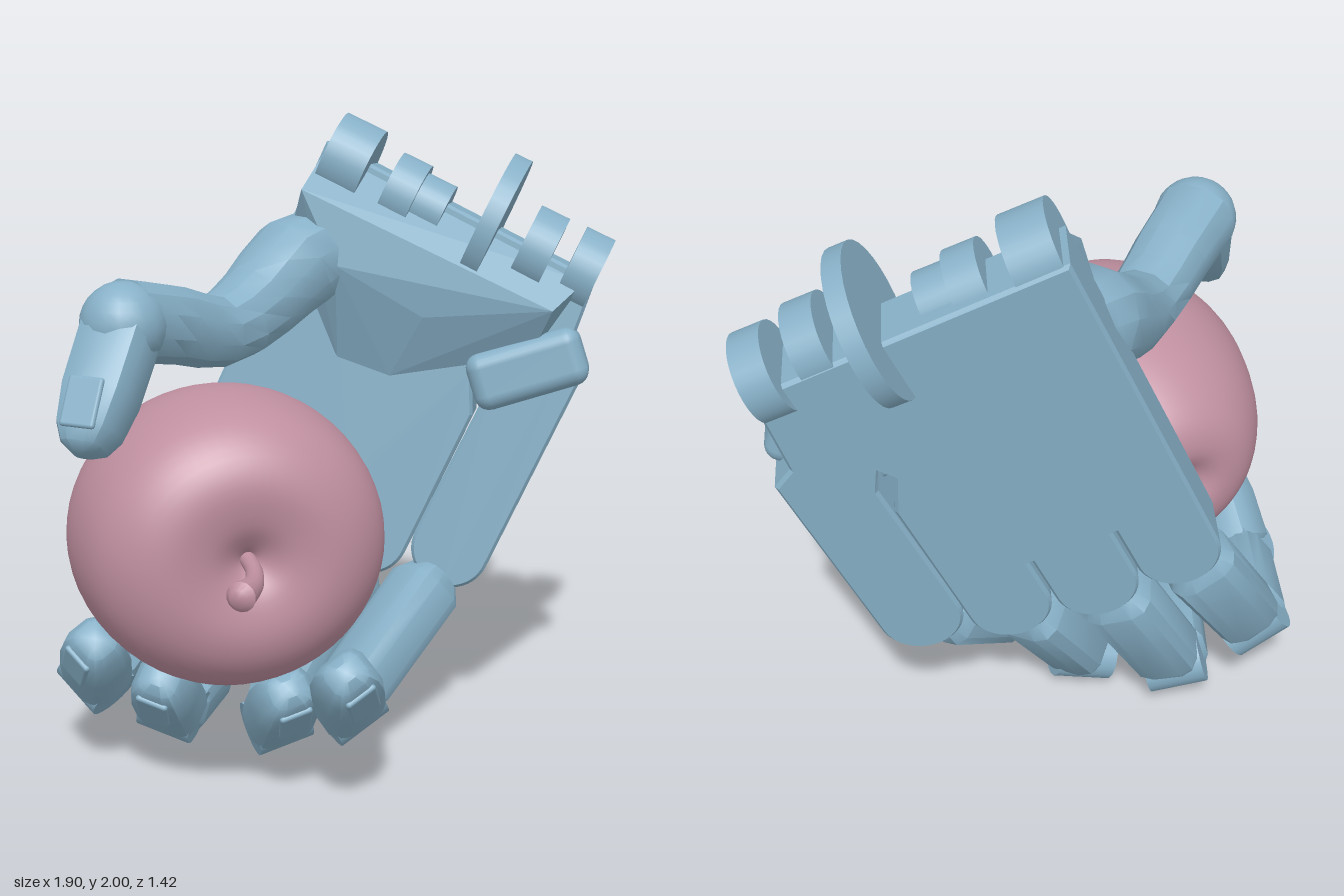
import * as THREE from 'three';
import { toCreasedNormals } from 'three/addons/utils/BufferGeometryUtils.js';
import { ConvexGeometry } from 'three/addons/geometries/ConvexGeometry.js';
import { RoundedBoxGeometry } from 'three/addons/geometries/RoundedBoxGeometry.js';

const V = (x, y, z) => new THREE.Vector3(x, y, z);
const blue = new THREE.MeshStandardMaterial({ color: 0x87b0c7 });
const pink = new THREE.MeshStandardMaterial({ color: 0xc090a0 });

function add(parent, name, geometry, material = blue) {
  const mesh = new THREE.Mesh(geometry, material);
  mesh.name = name;
  parent.add(mesh);
  return mesh;
}

// Closed skin over cross-sections; each station is [centre, half width, half height].
function loft(stations, up, power = 1, sides = 12, crease = 0.6) {
  const pos = [], index = [], n = stations.length;
  const bend = (c) => Math.sign(c) * Math.abs(c) ** power;
  stations.forEach(([p, w, h], i) => {
    const t = stations[Math.min(i + 1, n - 1)][0].clone().sub(stations[Math.max(i - 1, 0)][0]).normalize();
    const s = up.clone().cross(t).normalize();
    const v = t.clone().cross(s);
    for (let j = 0; j < sides; j++) {
      const k = ((j + 0.5) / sides) * Math.PI * 2;
      const q = p.clone().addScaledVector(s, bend(Math.cos(k)) * w).addScaledVector(v, bend(Math.sin(k)) * h);
      pos.push(q.x, q.y, q.z);
    }
  });
  for (let i = 0; i < n - 1; i++) {
    for (let j = 0; j < sides; j++) {
      const a = i * sides + j, b = i * sides + ((j + 1) % sides);
      index.push(a, b, b + sides, a, b + sides, a + sides);
    }
  }
  const first = n * sides, last = first + 1, end = (n - 1) * sides;
  pos.push(...stations[0][0].toArray(), ...stations[n - 1][0].toArray());
  for (let j = 0; j < sides; j++) {
    const m = (j + 1) % sides;
    index.push(first, m, j, last, end + j, end + m);
  }
  const g = new THREE.BufferGeometry();
  g.setAttribute('position', new THREE.Float32BufferAttribute(pos, 3));
  g.setIndex(index);
  return toCreasedNormals(g, crease);
}

// Straight finger piece: profile rows are [position along, scale].
const BONE = [[0, 0.72], [0.1, 1], [0.88, 0.95], [1, 0.72]];
const TIP = [[0, 0.75], [0.08, 1], [0.55, 0.97], [0.82, 0.82], [0.95, 0.58], [1, 0.28]];
function piece(p, q, w, h, up, profile) {
  return loft(profile.map(([t, s]) => [p.clone().lerp(q, t), w * s, h * s]), up, 0.6);
}

// Pin lying across a finger joint.
function pin(parent, name, p, axis, radius, length) {
  const mesh = add(parent, name, new THREE.CylinderGeometry(radius, radius, length, 20));
  mesh.position.copy(p);
  mesh.quaternion.setFromUnitVectors(V(0, 1, 0), axis.clone().normalize());
}

function nail(parent, p, q, up, w, h) {
  const t = q.clone().sub(p).normalize();
  const side = up.clone().cross(t).normalize();
  const out = t.clone().cross(side);
  const mesh = add(parent, 'nail', new RoundedBoxGeometry(w, 0.02, p.distanceTo(q) * 0.36, 2, 0.01));
  mesh.position.copy(p).lerp(q, 0.7).addScaledVector(out, h * 0.85);
  mesh.quaternion.setFromRotationMatrix(new THREE.Matrix4().makeBasis(side, out, t));
  mesh.rotateX(0.18);
}

export function createModel() {
  const model = new THREE.Group();

  // Apple on its side, stem to the front
  const core = V(-0.435, 0.81, 0.06);
  const apple = new THREE.Group();
  apple.name = 'apple';
  const profile = new THREE.SplineCurve([
    [0, -0.4], [0.04, -0.41], [0.13, -0.445], [0.25, -0.41], [0.37, -0.27], [0.45, -0.08], [0.472, 0.09],
    [0.44, 0.28], [0.36, 0.39], [0.25, 0.44], [0.13, 0.43], [0.05, 0.39], [0, 0.35],
  ].map(([r, h]) => new THREE.Vector2(r, h))).getPoints(48);
  profile.forEach((p) => { p.x = Math.max(p.x, 0); });
  const body = add(apple, 'appleBody', new THREE.LatheGeometry(profile, 56), pink);
  body.position.copy(core);
  body.scale.z = 0.945;
  body.rotation.set(Math.PI / 2, 0, 0.03);
  const stemPath = new THREE.CatmullRomCurve3([V(-0.45, 0.82, 0.36), V(-0.45, 0.8, 0.5), V(-0.48, 0.79, 0.6), V(-0.54, 0.79, 0.69)]);
  const stem = stemPath.getPoints(12).map((p, i) => [p, 0.024 + 0.02 * (i / 12) ** 3, 0.024 + 0.02 * (i / 12) ** 3]);
  stem.push([V(-0.552, 0.79, 0.705), 0.026, 0.026]);
  add(apple, 'stem', loft(stem, V(0, 1, 0), 1, 14, 0.9), pink);
  model.add(apple);

  // Hand frame: x runs index to little finger, y towards the wrist, z out of the palm
  const hand = new THREE.Group();
  hand.name = 'palm';
  const u = V(0.41, 0.905, 0.12).normalize();
  const n = V(0.8, -0.427, 0.438).cross(u).normalize();
  const a = u.clone().cross(n);
  hand.position.set(-0.35, 0.8, -0.7);
  hand.quaternion.setFromRotationMatrix(new THREE.Matrix4().makeBasis(a, u, n));
  hand.updateMatrixWorld();
  model.add(hand);

  // Palm plate with a rounded lobe per finger and a split beside the little finger
  const lobes = [[0.13, 0.08], [0.4, 0.07], [0.67, 0.11], [0.93, 0.19]];
  const plate = new THREE.Shape();
  plate.moveTo(0, 1.2);
  lobes.forEach(([c, b], i) => {
    plate.lineTo(c - 0.12, b);
    plate.absarc(c, b, 0.12, Math.PI, Math.PI * 2, false);
    if (i < 2) {
      plate.lineTo(c + 0.12, 0.26);
      plate.lineTo(lobes[i + 1][0] - 0.12, 0.26);
    } else if (i === 2) {
      [[0.79, 0.24], [0.79, 0.62], [0.73, 0.74], [0.77, 0.8], [0.815, 0.72], [0.81, 0.3]].forEach(([x, y]) => plate.lineTo(x, y));
    }
  });
  [[1.05, 0.86], [0.98, 0.9], [0.95, 1.18]].forEach(([x, y]) => plate.lineTo(x, y));
  add(hand, 'palmPlate', new THREE.ExtrudeGeometry(plate, {
    depth: 0.17, bevelThickness: 0.012, bevelSize: 0.01, bevelSegments: 1, curveSegments: 12,
  })).position.z = -0.005;

  // Heel of the hand
  add(hand, 'heel', new ConvexGeometry([
    V(0, 1.21, 0.0), V(0, 1.2, 0.16), V(0, 1.05, 0.31), V(0.94, 1.19, 0.0), V(0.93, 1.17, 0.17),
    V(0.88, 1.05, 0.27), V(0.02, 0.8, 0.12), V(0.2, 0.88, 0.31), V(0.32, 0.6, 0.18), V(0.5, 0.62, 0.18),
    V(0.52, 0.85, 0.27), V(0.88, 0.88, 0.18),
  ]));
  const pad = add(hand, 'heelPad', new RoundedBoxGeometry(0.38, 0.19, 0.17, 3, 0.05));
  pad.position.set(0.89, 0.84, 0.16);
  pad.rotation.z = 0.75;

  // Wrist hinge discs: position across, along, out, radius, width
  [
    [0.08, 1.18, 0.13, 0.14, 0.14], [0.28, 1.16, 0.13, 0.125, 0.1], [0.38, 1.16, 0.13, 0.1, 0.1],
    [0.58, 1.2, 0.09, 0.235, 0.06], [0.75, 1.19, 0.12, 0.135, 0.1], [0.91, 1.19, 0.08, 0.135, 0.1],
  ].forEach(([x, y, z, r, w]) => {
    add(hand, 'wristDisc', new THREE.CylinderGeometry(r, r, w, 32).rotateZ(Math.PI / 2)).position.set(x, y, z);
  });

  // Fingers: middle joint, end joint, tip
  const fingers = [
    ['indexFinger', V(-0.6, 0.3, -0.53), V(-0.78, 0.27, -0.2), V(-0.83, 0.49, 0.07)],
    ['middleFinger', V(-0.36, 0.16, -0.45), V(-0.55, 0.16, -0.12), V(-0.66, 0.38, 0.17)],
    ['ringFinger', V(-0.15, 0.11, -0.22), V(-0.27, 0.17, 0.1), V(-0.32, 0.39, 0.41)],
    ['littleFinger', V(-0.01, 0.18, 0.01), V(-0.1, 0.27, 0.3), V(-0.21, 0.5, 0.61)],
  ];
  fingers.forEach(([name, mid, end, tip], i) => {
    const finger = new THREE.Group();
    finger.name = name;
    const [c, b] = lobes[i];
    const knuckle = hand.localToWorld(V(c, b - 0.05, 0.08));
    const joints = [knuckle, mid, end, tip];
    for (let k = 0; k < 3; k++) {
      const p = joints[k].clone(), q = joints[k + 1];
      const up = p.clone().add(q).multiplyScalar(0.5).sub(core);
      const w = 0.115 - 0.005 * k, h = 0.102 - 0.004 * k;
      const side = up.clone().cross(q.clone().sub(p));
      if (k === 0) {
        pin(finger, 'knuckleHinge', p, a, 0.06, 0.16);
        p.lerp(q, 0.14);
      } else pin(finger, 'jointPin', p, side, 0.088, w * 1.7);
      add(finger, ['lowerBone', 'middleBone', 'fingertip'][k], piece(p, q, w, h, up, k < 2 ? BONE : TIP));
      if (k === 2) nail(finger, p, q, up, w, h);
    }
    model.add(finger);
  });

  // Thumb: waisted lower part, round joint and tip
  const thumb = new THREE.Group();
  thumb.name = 'thumb';
  const thumbPath = new THREE.CatmullRomCurve3([
    V(0.05, 1.56, -0.38), V(-0.07, 1.53, -0.34), V(-0.22, 1.43, -0.25), V(-0.38, 1.37, -0.14), V(-0.55, 1.42, -0.03), V(-0.72, 1.46, 0.08),
  ]);
  const girth = [0.14, 0.155, 0.13, 0.112, 0.12, 0.125];
  const rows = thumbPath.getPoints(10).map((p, i) => {
    const f = i / 2, k = Math.min(Math.floor(f), 4), r = THREE.MathUtils.lerp(girth[k], girth[k + 1], f - k);
    return [p, r, r];
  });
  add(thumb, 'thumbBone', loft(rows, V(0, 1, 0), 0.9, 12, 0.5));
  const bend = V(-0.72, 1.45, 0.09), thumbTip = V(-0.89, 1.12, 0.28);
  add(thumb, 'thumbJoint', new THREE.SphereGeometry(0.13, 20, 14)).position.copy(bend);
  const back = V(-0.55, 0.25, 0.65);
  add(thumb, 'thumbTip', piece(bend, thumbTip, 0.112, 0.105, back, TIP));
  nail(thumb, bend, thumbTip, back, 0.112, 0.105);
  model.add(thumb);

  return model;
}
